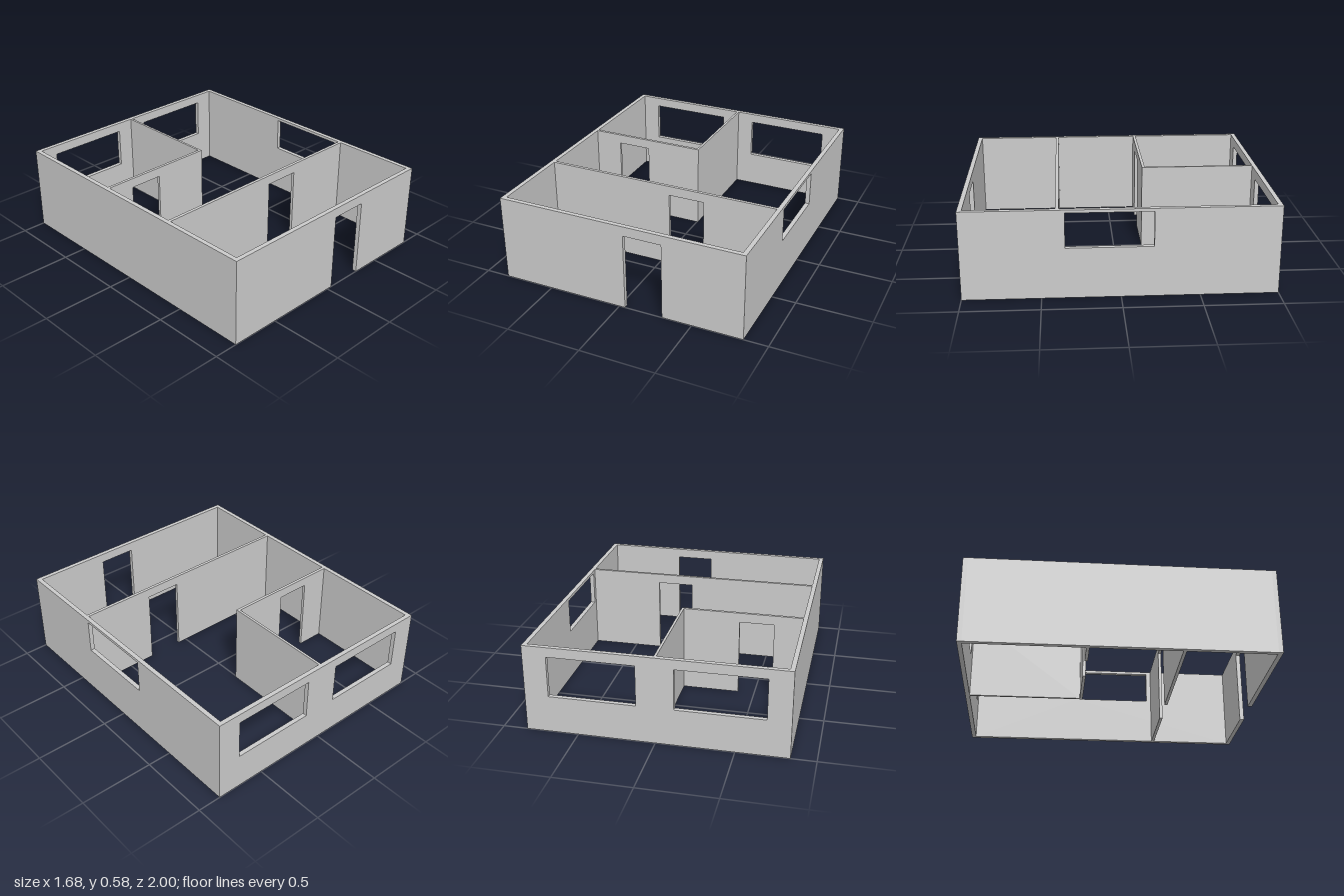
import * as THREE from 'three';

const H = 0.585, W = 0.84, D = 1, T = 0.03;
const material = new THREE.MeshStandardMaterial({ color: 0xcccccc, flatShading: true });

// Wall in its own plane: u runs from a to b, thickness is centred on the plane.
// door = [u0, u1, top]; windows = list of [u0, u1, bottom, top]
function wall(name, a, b, thickness, { door, windows = [] } = {}) {
  const outline = [[a, 0]];
  if (door) {
    const [u0, u1, top] = door;
    outline.push([u0, 0], [u0, top], [u1, top], [u1, 0]);
  }
  outline.push([b, 0], [b, H], [a, H]);
  const shape = new THREE.Shape(outline.map(([u, y]) => new THREE.Vector2(u, y)));
  for (const [u0, u1, y0, y1] of windows) {
    shape.holes.push(new THREE.Path([[u0, y0], [u0, y1], [u1, y1], [u1, y0]]
      .map(([u, y]) => new THREE.Vector2(u, y))));
  }
  const geometry = new THREE.ExtrudeGeometry(shape, { depth: thickness, bevelEnabled: false });
  geometry.translate(0, 0, -thickness / 2);
  const mesh = new THREE.Mesh(geometry, material);
  mesh.name = name;
  return mesh;
}

// Wall running along x at a given z
function wallAlongX(z, ...args) {
  const mesh = wall(...args);
  mesh.position.z = z;
  return mesh;
}

// Wall running along z at a given x; u = -z after the turn
function wallAlongZ(x, ...args) {
  const mesh = wall(...args);
  mesh.rotation.y = Math.PI / 2;
  mesh.position.x = x;
  return mesh;
}

export function createModel() {
  const house = new THREE.Group();
  house.name = 'houseWalls';

  // Outer walls
  house.add(
    wallAlongX(D - T / 2, 'frontWall', -W, W, T, { door: [0.04, 0.298, 0.52] }),
    wallAlongX(-D + T / 2, 'backWall', -W, W, T, {
      windows: [[-0.69, -0.12, 0.247, 0.52], [0.12, 0.685, 0.247, 0.52]],
    }),
    wallAlongZ(W - T / 2, 'leftWall', -D + T, D - T, T, {
      windows: [[-0.348, 0.205, 0.335, 0.565]],
    }),
    wallAlongZ(-W + T / 2, 'rightWall', -D + T, D - T, T),
  );

  // Partitions
  house.add(
    wallAlongX(0.392, 'crossPartition', -W + T, W - T, 0.021, { door: [0.066, 0.313, 0.52] }),
    wallAlongX(-0.207, 'roomPartition', -W + T, 0.008, 0.02, { door: [-0.62, -0.388, 0.52] }),
    wallAlongZ(0, 'dividingPartition', 0.217, D - T, 0.016),
  );
  return house;
}
